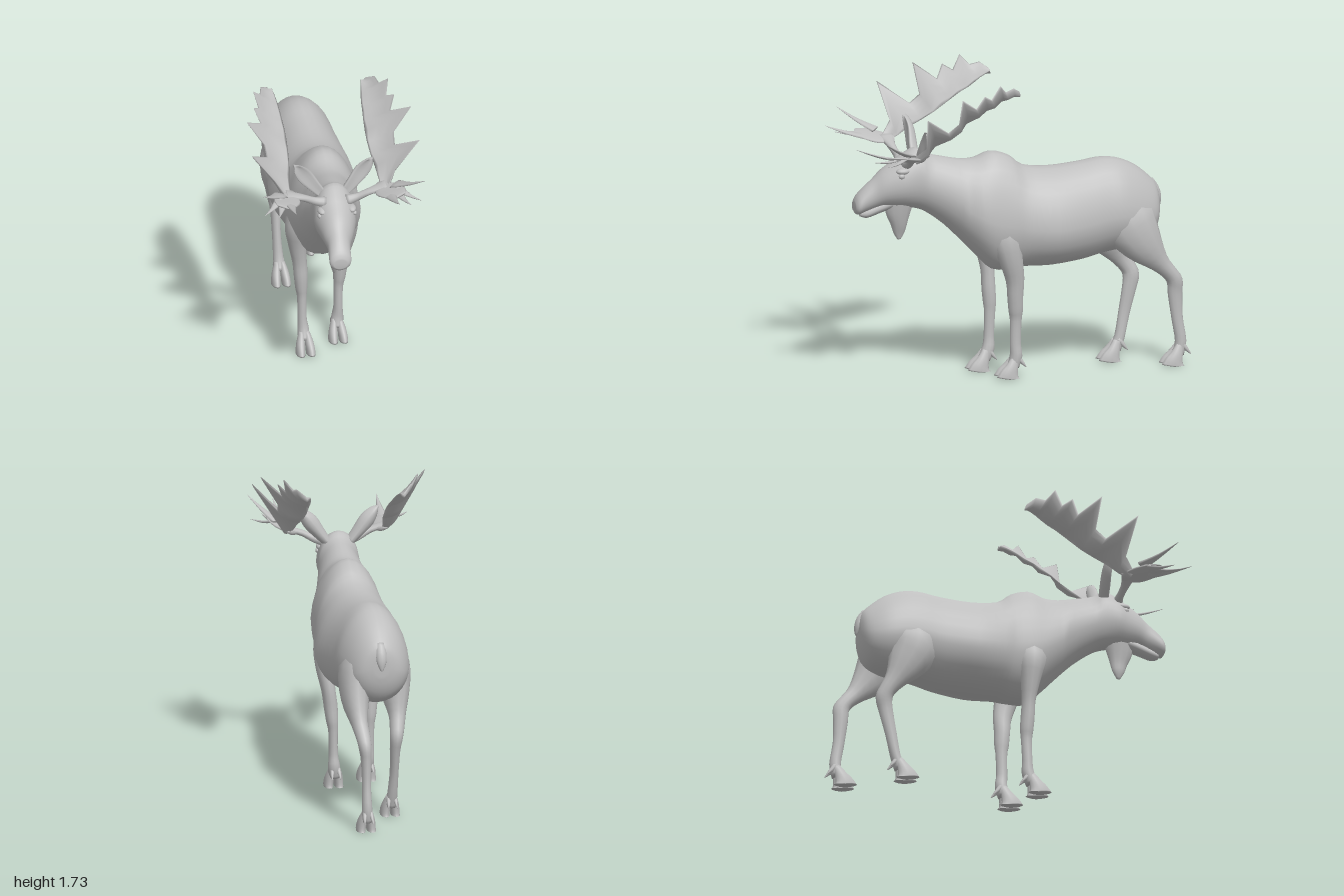
import * as THREE from 'three';

const hide = new THREE.MeshStandardMaterial({ color: 0xbfbfbf });
hide.name = 'grey hide';

// Resample rows of numbers with a Catmull-Rom spline on every column
function smooth(rows, steps) {
  const out = [];
  const last = rows.length - 1;
  for (let i = 0; i < last; i++) {
    const [p, a, b, n] = [rows[Math.max(i - 1, 0)], rows[i], rows[i + 1], rows[Math.min(i + 2, last)]];
    for (let s = 0; s < steps; s++) {
      const t = s / steps;
      out.push(a.map((v, k) => {
        const m0 = (b[k] - p[k]) / 2, m1 = (n[k] - v) / 2, d = b[k] - v;
        return v + m0 * t + (3 * d - 2 * m0 - m1) * t * t + (m0 + m1 - 2 * d) * t * t * t;
      }));
    }
  }
  out.push(rows[last]);
  return out;
}

// Closed skin over rings of points, capped at both ends
function skin(rings) {
  const n = rings[0].length, pos = [], idx = [];
  rings.forEach(r => r.forEach(p => pos.push(p.x, p.y, p.z)));
  for (let i = 0; i < rings.length - 1; i++) {
    for (let j = 0; j < n; j++) {
      const a = i * n + j, b = i * n + (j + 1) % n;
      idx.push(a, b, a + n, b, b + n, a + n);
    }
  }
  [0, rings.length - 1].forEach((i, end) => {
    const c = rings[i].reduce((s, p) => s.add(p), new THREE.Vector3()).divideScalar(n);
    const k = pos.length / 3;
    pos.push(c.x, c.y, c.z);
    for (let j = 0; j < n; j++) {
      const a = i * n + j, b = i * n + (j + 1) % n;
      if (end) idx.push(k, a, b); else idx.push(k, b, a);
    }
  });
  const g = new THREE.BufferGeometry();
  g.setAttribute('position', new THREE.Float32BufferAttribute(pos, 3));
  g.setIndex(idx);
  g.computeVertexNormals();
  return g;
}

// Point i of a list of rows, clamped to its ends
const pointAt = (rows, i) => new THREE.Vector3(...rows[Math.min(Math.max(i, 0), rows.length - 1)].slice(0, 3));

// Elliptical tube; rows are [x, y, z, radius along ref, radius across], cup bends the section
function tube(rows, ref = [1, 0, 0], steps = 3, sides = 12, cup = 0) {
  const pts = smooth(rows, steps);
  return skin(pts.map((p, i) => {
    const T = pointAt(pts, i + 1).sub(pointAt(pts, i - 1)).normalize();
    const N = new THREE.Vector3(...ref);
    N.addScaledVector(T, -N.dot(T)).normalize();
    const B = new THREE.Vector3().crossVectors(T, N);
    return Array.from({ length: sides }, (_, j) => {
      const a = j / sides * Math.PI * 2, c = Math.cos(a);
      const v = pointAt(pts, i).addScaledVector(N, c * Math.max(p[3], 0.001))
        .addScaledVector(B, Math.sin(a) * Math.max(p[4], 0.001) + cup * c * c);
      v.y = Math.max(v.y, 0.005);
      return v;
    });
  }));
}

// Thin hollowed sheet between an inner edge and a jagged outer edge; rows are [inner xyz, outer xyz]
function sheet(rows, thick, hollow, sides = 12) {
  return skin(rows.map((r, i) => {
    const inner = pointAt(rows, i), half = new THREE.Vector3(...r.slice(3)).sub(inner).multiplyScalar(0.5);
    const T = pointAt(rows, i + 1).sub(pointAt(rows, i - 1));
    const B = T.cross(half).normalize();
    return Array.from({ length: sides }, (_, j) => {
      const a = j / sides * Math.PI * 2, s = Math.sin(a);
      return inner.clone().addScaledVector(half, 1 + Math.cos(a)).addScaledVector(B, thick * s + hollow * s * s);
    });
  }));
}

export function createModel() {
  const model = new THREE.Group();
  model.name = 'moose';
  const add = (name, geometry, parent = model) => {
    const m = new THREE.Mesh(geometry, hide);
    m.name = name;
    parent.add(m);
    return m;
  };
  const ball = (name, x, y, z, sx, sy, sz) => {
    const m = add(name, new THREE.SphereGeometry(1, 14, 10));
    m.position.set(x, y, z);
    m.scale.set(sx, sy, sz);
  };

  // Trunk, neck and head: z, centre x, top, bottom, half width
  const sections = [
    [-0.835, 0.02, 0.98, 0.86, 0.04], [-0.82, 0.02, 1.03, 0.79, 0.1], [-0.78, 0.02, 1.075, 0.72, 0.145],
    [-0.7, 0.02, 1.14, 0.68, 0.18], [-0.6, 0.025, 1.185, 0.67, 0.2], [-0.5, 0.025, 1.195, 0.655, 0.207],
    [-0.38, 0.03, 1.18, 0.63, 0.22], [-0.2, 0.03, 1.168, 0.612, 0.244], [-0.05, 0.03, 1.19, 0.615, 0.225],
    [0.03, 0.032, 1.25, 0.605, 0.207], [0.13, 0.03, 1.28, 0.61, 0.202], [0.22, 0.03, 1.25, 0.695, 0.193],
    [0.3, 0.02, 1.245, 0.78, 0.168], [0.4, 0.015, 1.265, 0.88, 0.14], [0.5, 0.01, 1.29, 0.955, 0.12],
    [0.56, 0.005, 1.325, 0.98, 0.115], [0.63, 0, 1.292, 0.995, 0.116], [0.68, 0, 1.258, 1, 0.107],
    [0.75, -0.005, 1.21, 1.005, 0.085], [0.8, -0.01, 1.16, 0.992, 0.066], [0.85, -0.015, 1.115, 0.975, 0.062],
    [0.89, -0.018, 1.07, 0.962, 0.06], [0.906, -0.02, 1.035, 0.98, 0.038],
  ];
  add('body and head', skin(smooth(sections, 3).map(([z, cx, top, bot, w]) =>
    Array.from({ length: 28 }, (_, j) => {
      const a = j / 28 * Math.PI * 2, s = Math.sin(a);
      const mid = bot + (top - bot) * (z > 0.3 ? 0.48 : 0.43);
      const taper = z > 0.5 ? 0 : 0.1;
      return new THREE.Vector3(cx + w * Math.cos(a) * (1 - taper * Math.max(s, 0)),
        mid + s * (s > 0 ? top - mid : mid - bot), z);
    }))));

  // Lower jaw, hanging dewlap and tail
  add('lower jaw', tube([[0, 1.03, 0.68, 0.05, 0.035], [-0.01, 0.99, 0.78, 0.045, 0.03],
    [-0.016, 0.965, 0.84, 0.04, 0.025], [-0.018, 0.962, 0.873, 0.02, 0.012]]));
  add('dewlap', tube([[0, 1.05, 0.65, 0.06, 0.09], [0, 0.97, 0.655, 0.045, 0.075],
    [-0.003, 0.9, 0.65, 0.03, 0.05], [-0.01, 0.845, 0.648, 0.018, 0.033], [-0.01, 0.805, 0.648, 0.005, 0.01]]));
  add('tail', tube([[0.02, 1.03, -0.79, 0.03, 0.03], [0.02, 0.99, -0.825, 0.03, 0.022],
    [0.02, 0.94, -0.84, 0.026, 0.018], [0.02, 0.895, -0.848, 0.006, 0.005]]));

  // Legs: x, y, z, half width, half depth, from hip or shoulder down to the fetlock
  const legs = {
    leftFrontLeg: [[0.11, 0.97, 0.09, 0.07, 0.1], [0.163, 0.82, 0.08, 0.07, 0.095], [0.175, 0.7, 0.06, 0.053, 0.07],
      [0.16, 0.57, 0.03, 0.04, 0.054], [0.147, 0.47, 0.025, 0.039, 0.046], [0.14, 0.39, 0.02, 0.034, 0.042],
      [0.135, 0.33, 0.018, 0.027, 0.034], [0.133, 0.2, 0.02, 0.026, 0.032], [0.13, 0.13, 0.015, 0.034, 0.036],
      [0.125, 0.07, 0.03, 0.034, 0.034]],
    rightFrontLeg: [[-0.05, 0.97, 0.13, 0.07, 0.1], [-0.113, 0.82, 0.12, 0.07, 0.09], [-0.115, 0.7, 0.115, 0.053, 0.06],
      [-0.1, 0.57, 0.108, 0.041, 0.04], [-0.092, 0.47, 0.105, 0.039, 0.04], [-0.088, 0.39, 0.1, 0.034, 0.038],
      [-0.085, 0.33, 0.1, 0.027, 0.032], [-0.085, 0.2, 0.105, 0.026, 0.03], [-0.08, 0.13, 0.11, 0.032, 0.036],
      [-0.078, 0.07, 0.135, 0.034, 0.036]],
    leftHindLeg: [[0.08, 1.02, -0.6, 0.07, 0.13], [0.125, 0.86, -0.63, 0.098, 0.16], [0.145, 0.72, -0.71, 0.08, 0.12],
      [0.14, 0.6, -0.81, 0.048, 0.058], [0.13, 0.53, -0.875, 0.04, 0.043], [0.125, 0.48, -0.905, 0.036, 0.046],
      [0.12, 0.41, -0.908, 0.03, 0.042], [0.12, 0.27, -0.92, 0.025, 0.033], [0.12, 0.14, -0.94, 0.029, 0.033],
      [0.118, 0.07, -0.925, 0.033, 0.035]],
    rightHindLeg: [[-0.04, 1, -0.57, 0.07, 0.13], [-0.088, 0.84, -0.54, 0.105, 0.15], [-0.1, 0.71, -0.59, 0.082, 0.115],
      [-0.1, 0.6, -0.655, 0.05, 0.062], [-0.092, 0.53, -0.7, 0.041, 0.046], [-0.085, 0.48, -0.717, 0.037, 0.048],
      [-0.08, 0.41, -0.705, 0.03, 0.042], [-0.08, 0.27, -0.675, 0.025, 0.034], [-0.075, 0.14, -0.648, 0.029, 0.03],
      [-0.072, 0.07, -0.62, 0.033, 0.035]],
  };
  for (const [name, rows] of Object.entries(legs)) {
    const leg = new THREE.Group();
    leg.name = name;
    model.add(leg);
    add('limb', tube(rows), leg);
    const [x, , z] = rows[rows.length - 1];
    for (const s of [-1, 1]) {
      // Cloven toe and the small dewclaw behind it
      add('toe', tube([[x + s * 0.015, 0.12, z - 0.01, 0.014, 0.022], [x + s * 0.023, 0.07, z + 0.012, 0.023, 0.036],
        [x + s * 0.028, 0.03, z + 0.03, 0.025, 0.055], [x + s * 0.029, 0.005, z + 0.036, 0.025, 0.068]]), leg);
      add('dewclaw', tube([[x + s * 0.014, 0.13, z - 0.015, 0.014, 0.016], [x + s * 0.02, 0.095, z - 0.042, 0.011, 0.012],
        [x + s * 0.024, 0.065, z - 0.068, 0.002, 0.002]], [1, 0, 0], 2, 8), leg);
    }
  }

  // Paired parts of the head
  for (const s of [-1, 1]) {
    const side = s > 0 ? 'left' : 'right';
    const X = x => s * x + 0.005;
    const flip = rows => rows.map(([x, ...r]) => [X(x), ...r]);

    ball(side + 'Eye', X(0.098), 1.188, 0.667, 0.012, 0.014, 0.018);
    ball(side + 'Brow', X(0.083), 1.213, 0.655, 0.025, 0.018, 0.04);
    ball(side + 'Nostril', s * 0.036 - 0.018, 1.03, 0.875, 0.022, 0.03, 0.024);

    // Cupped ear opening forwards
    add(side + 'Ear', tube(flip([[0.06, 1.26, 0.545, 0.025, 0.025], [0.11, 1.32, 0.54, 0.036, 0.025],
      [0.16, 1.385, 0.535, 0.044, 0.02], [0.2, 1.435, 0.54, 0.028, 0.014], [0.222, 1.46, 0.548, 0.004, 0.004]]),
      [-0.75 * s, 0.66, 0], 3, 14, 0.02 * s));

    // Antler: beam, toothed rear palm, forward palm and its tines
    const antler = new THREE.Group();
    antler.name = side + 'Antler';
    model.add(antler);
    add('beam', tube(flip([[0.06, 1.25, 0.63, 0.032, 0.03], [0.12, 1.265, 0.63, 0.022, 0.02],
      [0.19, 1.3, 0.64, 0.018, 0.026], [0.28, 1.33, 0.64, 0.014, 0.05]]), [0, 1, 0]), antler);
    const palm = [
      [0.25, 1.31, 0.64, 0.29, 1.335, 0.66], [0.25, 1.335, 0.58, 0.34, 1.4, 0.6], [0.24, 1.38, 0.52, 0.472, 1.595, 0.635],
      [0.228, 1.42, 0.45, 0.36, 1.485, 0.48], [0.222, 1.46, 0.38, 0.365, 1.53, 0.42], [0.22, 1.495, 0.33, 0.462, 1.69, 0.43],
      [0.222, 1.535, 0.27, 0.365, 1.61, 0.32], [0.225, 1.56, 0.23, 0.395, 1.685, 0.28], [0.228, 1.585, 0.18, 0.36, 1.655, 0.23],
      [0.232, 1.61, 0.14, 0.378, 1.735, 0.185], [0.238, 1.63, 0.11, 0.335, 1.685, 0.14], [0.243, 1.645, 0.08, 0.32, 1.7, 0.09],
      [0.25, 1.66, 0.05, 0.28, 1.67, 0.045],
    ];
    add('rear palm', sheet(palm.map(([ax, ay, az, bx, by, bz]) => [X(ax), ay, az, X(bx), by, bz]), 0.011, 0.02 * s), antler);
    add('forward palm', tube(flip([[0.25, 1.315, 0.6, 0.03, 0.015], [0.275, 1.325, 0.68, 0.07, 0.012],
      [0.31, 1.345, 0.76, 0.065, 0.009], [0.33, 1.355, 0.81, 0.035, 0.006]]), [s, 0.25, -0.25], 3, 14), antler);
    // Tines: root, tip, half width of the flat root
    const tines = [
      [0.32, 1.36, 0.69, 0.455, 1.47, 0.87, 0.045], [0.28, 1.33, 0.74, 0.29, 1.41, 0.99, 0.04],
      [0.32, 1.345, 0.75, 0.37, 1.35, 0.91, 0.03], [0.33, 1.35, 0.72, 0.44, 1.335, 0.85, 0.03],
    ];
    for (const [x, y, z, tx, ty, tz, r] of tines) {
      add('tine', tube(flip([[x, y, z, r, 0.009], [(x + tx) / 2, (y + ty) / 2 - 0.008, (z + tz) / 2, r * 0.42, 0.007],
        [tx, ty, tz, 0.001, 0.001]]), [s, 0.2, -0.5], 3, 8), antler);
    }
  }
  return model;
}
